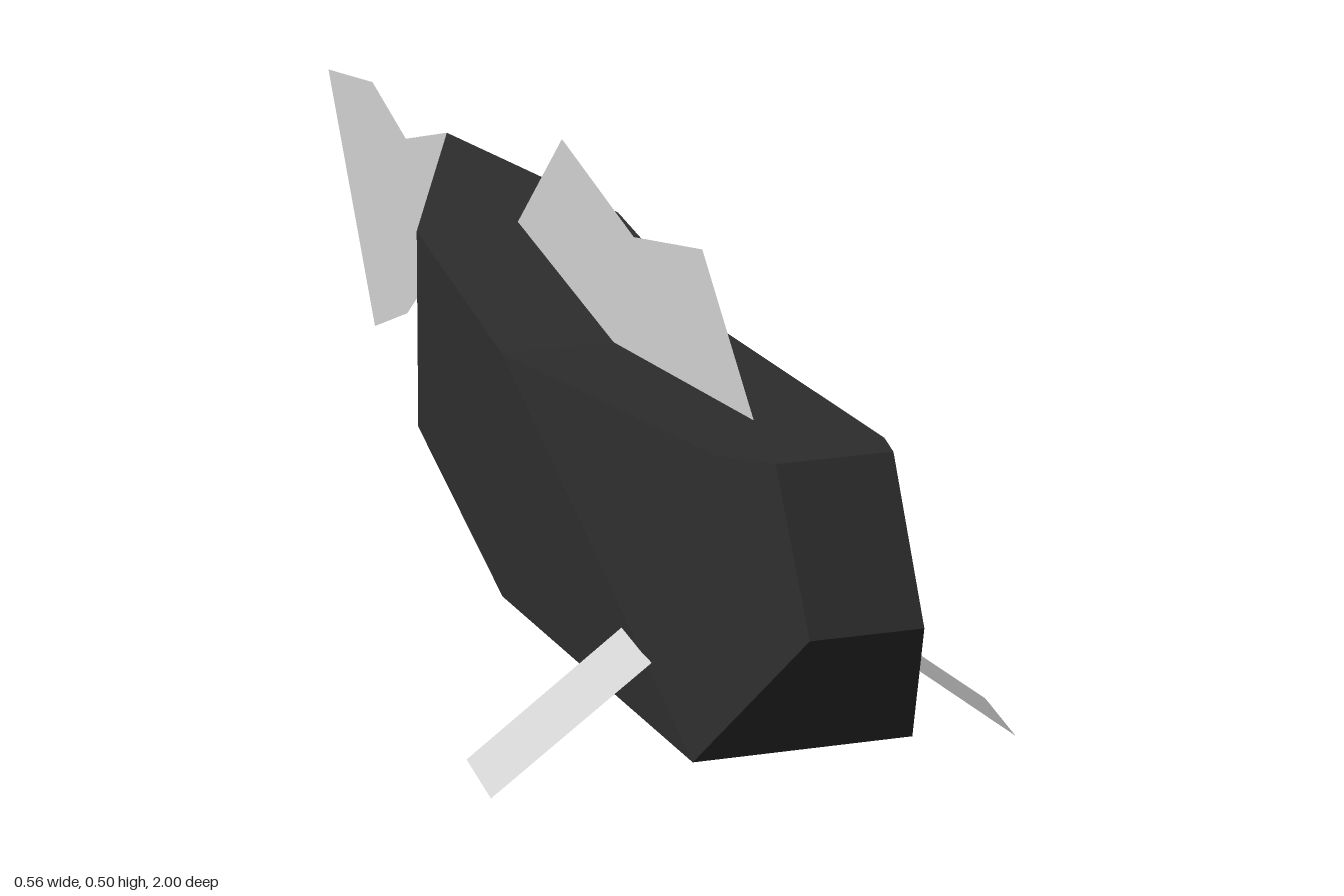
import * as THREE from 'three';

const bodyMat = new THREE.MeshStandardMaterial({ color: 0x2d2d2d });
bodyMat.name = 'charcoal';
const finMat = new THREE.MeshStandardMaterial({ color: 0xd0d0d0, side: THREE.DoubleSide });
finMat.name = 'paleGrey';

// Flat-shaded geometry from a list of triangles of points
function facets(tris) {
  const g = new THREE.BufferGeometry();
  g.setAttribute('position', new THREE.Float32BufferAttribute(tris.flat(2), 3));
  g.computeVertexNormals();
  return g;
}

function addMesh(group, name, geometry, material) {
  const m = new THREE.Mesh(geometry, material);
  m.name = name;
  group.add(m);
}

// Body: four-cornered sections from snout to tail root
// top z, top y, top half width, bottom z, bottom y, bottom half width
const SECTIONS = [
  [0.90, 0.415, 0.06, 1.00, 0.27, 0.058],
  [0.80, 0.392, 0.087, 0.82, 0.08, 0.115],
  [0.19, 0.30, 0.125, 0.19, 0.022, 0.125],
  [-0.17, 0.325, 0.118, -0.17, 0.093, 0.118],
  [-0.46, 0.345, 0, -0.46, 0.20, 0],
];

function bodyGeometry() {
  const rings = SECTIONS.map(([zt, yt, ht, zb, yb, hb]) =>
    [[ht, yt, zt], [-ht, yt, zt], [-hb, yb, zb], [hb, yb, zb]]);
  const s = rings[0];
  const tris = [[s[0], s[1], s[2]], [s[0], s[2], s[3]]]; // snout face
  for (let i = 0; i < rings.length - 1; i++) {
    for (let j = 0; j < 4; j++) {
      const k = (j + 1) % 4;
      const a = rings[i][j], b = rings[i + 1][j], c = rings[i + 1][k], d = rings[i][k];
      // mirror the diagonal on the right flank
      if (j === 1) tris.push([a, b, d], [b, c, d]);
      else tris.push([a, b, c], [a, c, d]);
    }
  }
  return facets(tris);
}

// Flat fin standing in the middle plane, outlined as [z, y]
function uprightFin(outline) {
  const shape = new THREE.Shape(outline.map(([z, y]) => new THREE.Vector2(z, y)));
  return new THREE.ShapeGeometry(shape).rotateY(-Math.PI / 2);
}

export function createModel() {
  const model = new THREE.Group();
  model.name = 'fish';
  addMesh(model, 'body', bodyGeometry(), bodyMat);

  addMesh(model, 'dorsalFin', uprightFin([
    [0.66, 0.369], [0.49, 0.498], [0.26, 0.44], [0, 0.472], [-0.17, 0.325], [0.19, 0.30],
  ]), finMat);

  addMesh(model, 'tailFin', uprightFin([
    [-0.46, 0.345], [-0.64, 0.285], [-0.79, 0.313], [-1, 0.27], [-0.79, 0], [-0.64, 0.065], [-0.46, 0.20],
  ]), finMat);

  // Pectoral fins, slanting down and out
  for (const [name, s] of [['leftPectoralFin', 1], ['rightPectoralFin', -1]]) {
    const a = [0.112 * s, 0.139, 0.69], b = [0.112 * s, 0.144, 0.597];
    const c = [0.281 * s, 0.011, 0.59], d = [0.281 * s, 0.004, 0.678];
    addMesh(model, name, facets(s > 0 ? [[a, d, c], [a, c, b]] : [[a, c, d], [a, b, c]]), finMat);
  }
  return model;
}
